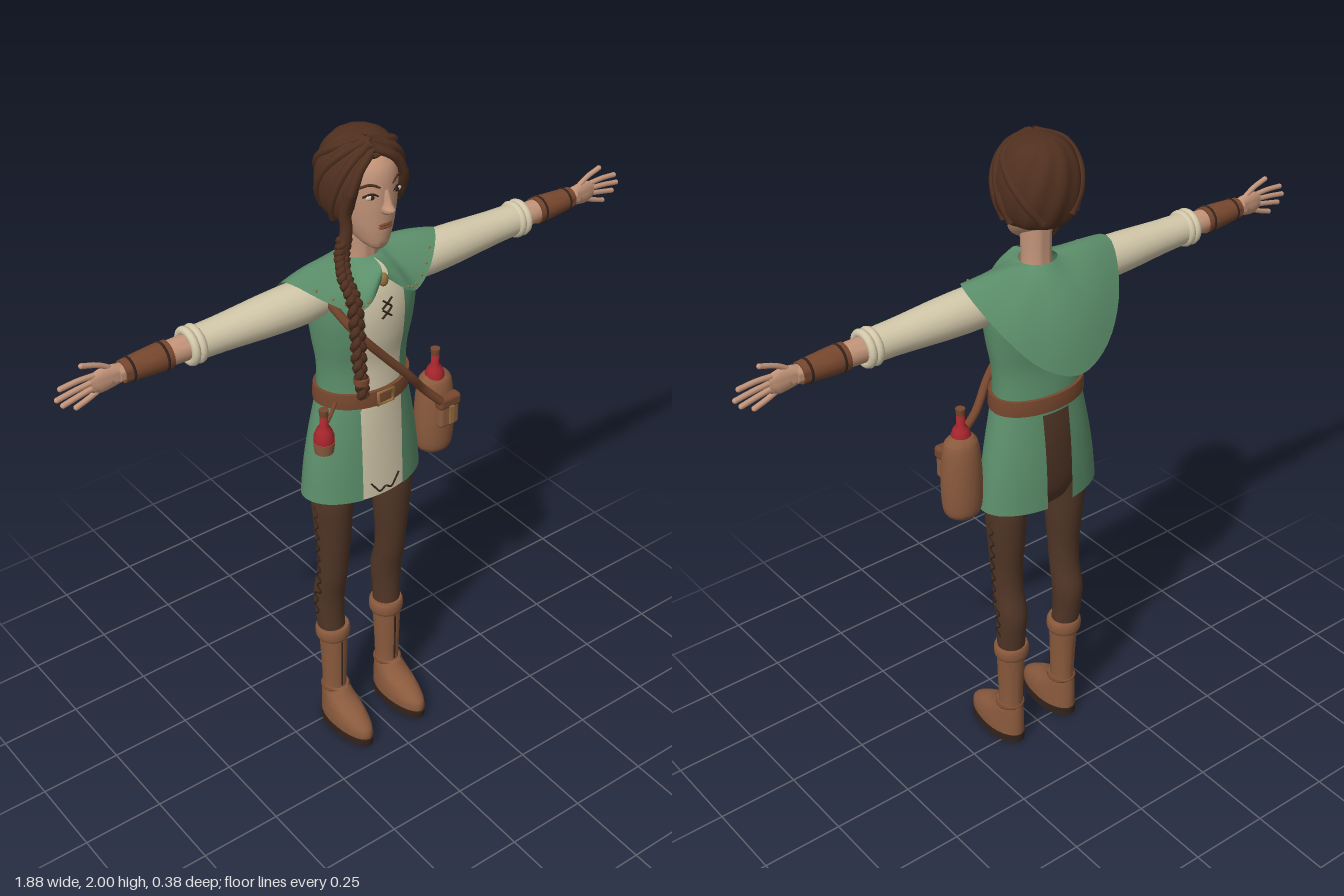
import * as THREE from 'three';
import { mergeVertices, toCreasedNormals } from 'three/addons/utils/BufferGeometryUtils.js';
import { RoundedBoxGeometry } from 'three/addons/geometries/RoundedBoxGeometry.js';

const paint = (name, color, double) => {
  const m = new THREE.MeshStandardMaterial({ color });
  m.name = name;
  if (double) m.side = THREE.DoubleSide;
  return m;
};
const V = (p) => new THREE.Vector3(...p);
const smooth = THREE.MathUtils.smoothstep;
const TAU = Math.PI * 2;

// Smooth surface from f(u, v); it faces outward when u runs counter-clockwise and v runs up
function grid(f, nu, nv) {
  const pos = [], idx = [];
  for (let j = 0; j <= nv; j++) for (let i = 0; i <= nu; i++) pos.push(...f(i / nu, j / nv));
  for (let j = 0; j < nv; j++) for (let i = 0; i < nu; i++) {
    const a = j * (nu + 1) + i, b = a + nu + 1;
    idx.push(a, a + 1, b + 1, a, b + 1, b);
  }
  let g = new THREE.BufferGeometry();
  g.setAttribute('position', new THREE.Float32BufferAttribute(pos, 3));
  g.setIndex(idx);
  g = mergeVertices(g, 1e-5);
  g.computeVertexNormals();
  return g;
}

// Rows are [y, x, z, half width, depth in front, depth behind]; span(rx) gives the angles covered
function section(rows) {
  const c = new THREE.CatmullRomCurve3(rows.map((r) => V([r[1], r[0], r[2]])), false, 'catmullrom');
  const s = new THREE.CatmullRomCurve3(rows.map((r) => V([r[3], r[4], r[5]])), false, 'catmullrom');
  return (t) => [c.getPoint(t), s.getPoint(t)];
}
function loft(rows, { nu = 28, span, scale = 1 } = {}) {
  const at = section(rows), n = rows.length * 4;
  const nv = span ? n : n + 2;
  const g = grid((u, v) => {
    const j = Math.round(v * nv);
    const [c, s] = at(span ? v : Math.min(Math.max((j - 1) / n, 0), 1));
    const k = !span && (j === 0 || j === nv) ? 0 : scale;
    const [a0, a1] = span ? span(s.x) : [0, TAU];
    const a = a0 + (a1 - a0) * (!span && u === 1 ? 0 : u), co = Math.cos(a);
    return [c.x + k * s.x * Math.sin(a), c.y, c.z + k * (co > 0 ? s.y : s.z) * co];
  }, nu, nv);
  return span ? g : toCreasedNormals(g, 0.9);
}
const tube = (pts, r, seg = 24, sides = 8) =>
  new THREE.TubeGeometry(new THREE.CatmullRomCurve3(pts.map(V)), seg, r, sides);
const round = (y, r, x = 0, z = 0) => [y, x, z, r, r, r];

export function createModel() {
  const model = new THREE.Group();
  model.name = 'adventurer';
  const hair = paint('hair brown', 0x50301f, true), skin = paint('skin', 0xc4957a);
  const green = paint('tunic green', 0x5c8f6b, true), cream = paint('linen cream', 0xd3c8aa, true);
  const leather = paint('belt leather', 0x77472e), boot = paint('boot leather', 0x8a5a3d);
  const legging = paint('legging brown', 0x503526), dark = paint('dark brown', 0x33231c);
  const red = paint('potion red', 0xa8262d), gold = paint('brass', 0x94713c);

  const add = (name, geo, mat, parent = model, p = [0, 0, 0]) => {
    const m = new THREE.Mesh(geo, mat);
    m.name = name;
    m.position.set(...p);
    parent.add(m);
    return m;
  };
  const blob = (name, mat, p, s, parent = model) => {
    const m = add(name, new THREE.SphereGeometry(1, 16, 12), mat, parent, p);
    m.scale.set(...s);
    return m;
  };

  // Head, neck and face
  add('neck', loft([[1.58, 0, 0, 0.05, 0.05, 0.045], [1.65, 0, 0.005, 0.041, 0.043, 0.043], [1.78, 0, 0.01, 0.045, 0.045, 0.05]]), skin);
  add('head', loft([[1.69, 0, 0.075, 0.018, 0.018, 0.02], [1.705, 0, 0.06, 0.037, 0.043, 0.045], [1.74, 0, 0.03, 0.059, 0.08, 0.06],
    [1.78, 0, 0.015, 0.074, 0.098, 0.085], [1.84, 0, 0.01, 0.084, 0.105, 0.1], [1.91, 0, 0.01, 0.084, 0.1, 0.1],
    [1.95, 0, 0.005, 0.066, 0.08, 0.08], [1.97, 0, 0, 0.03, 0.04, 0.04]]), skin);
  add('nose', loft([[1.803, 0, 0.11, 0.012, 0.015, 0.01], [1.816, 0, 0.112, 0.017, 0.031, 0.01], [1.835, 0, 0.11, 0.011, 0.022, 0.01],
    [1.87, 0, 0.105, 0.008, 0.012, 0.01]], { nu: 12 }), skin);
  for (const y of [1.762, 1.77]) blob('lip', leather, [0, y, 0.109], [0.022, 0.005, 0.008]);
  for (const s of [-1, 1]) {
    blob('eye', cream, [s * 0.04, 1.855, 0.1], [0.017, 0.008, 0.006]);
    blob('iris', dark, [s * 0.039, 1.855, 0.103], [0.007, 0.007, 0.005]);
    add('eyelid', tube([[s * 0.022, 1.856, 0.108], [s * 0.04, 1.865, 0.104], [s * 0.06, 1.856, 0.09]], 0.003, 10, 6), dark);
    add('eyebrow', tube([[s * 0.018, 1.88, 0.109], [s * 0.042, 1.89, 0.099], [s * 0.066, 1.88, 0.08]], 0.004, 10, 6), hair);
  }

  // Hair cap with a raised front hairline, tucked in at the edge
  const hairPoint = (a, t, k = 1) => {
    const r = 0.117 * Math.pow(Math.max(Math.sin(t), 0), 0.75) * k * (1 + 0.02 * Math.sin(11 * a + 4 * t));
    return [r * Math.sin(a), 1.862 + 0.135 * Math.cos(t), r * Math.cos(a) - 0.002];
  };
  add('hair', grid((u, v) => {
    const a = TAU * (v === 1 && u === 1 ? 1 : u), f = Math.abs(a > Math.PI ? a - TAU : a);
    const edge = 0.88 + 1.7 * smooth(f, 0.3, 1.15), tuck = 0.12 + 0.38 * smooth(f, 0.8, 2);
    return hairPoint(a, (1 - v) * edge, 1 - tuck * smooth(1 - v, 0.88, 1));
  }, 64, 28), hair);
  const strands = [[-0.25, 0.5, 1.2, 2.3], [-0.2, 0.6, 0.9, 1.7], [-0.2, 0.4, 1.7, 2.2], [-0.3, 0.35, 2.6, 2.1],
    [-0.3, 0.7, -1.0, 2.2], [-0.3, 0.5, -1.5, 2.3], [-0.4, 0.4, -2.2, 2.2], [-0.4, 0.3, -2.9, 2.0]];
  for (const [a0, t0, a1, t1] of strands) {
    const pts = [0, 0.25, 0.5, 0.75, 1].map((k) => hairPoint(a0 + (a1 - a0) * Math.sqrt(k), t0 + (t1 - t0) * k, 0.98));
    add('hairStrand', tube(pts, 0.012), hair);
  }
  add('sideLock', tube([hairPoint(-0.85, 1.5), hairPoint(-1, 2), [-0.09, 1.76, 0.06], [-0.105, 1.7, 0.065]], 0.017), hair);

  // Three-strand braid over the right shoulder
  const path = new THREE.CatmullRomCurve3([[-0.095, 1.74, 0.06], [-0.11, 1.69, 0.068], [-0.125, 1.65, 0.1], [-0.125, 1.6, 0.138],
    [-0.12, 1.5, 0.148], [-0.12, 1.4, 0.158], [-0.115, 1.31, 0.168]].map(V));
  for (let k = 0; k < 3; k++) {
    const pts = [];
    for (let i = 0; i <= 70; i++) {
      const p = path.getPoint(i / 70), w = i * 0.55 + (k * TAU) / 3, taper = i > 58 ? 0.7 : 1;
      pts.push([p.x + 0.012 * taper * Math.sin(w), p.y, p.z + 0.007 * Math.sin(2 * w)]);
    }
    add('braidStrand', tube(pts, 0.0115, 140, 7), hair);
  }
  add('braidTie', new THREE.CylinderGeometry(0.021, 0.021, 0.018, 14), leather, model, [-0.118, 1.36, 0.163]);

  // Tunic bodice and split skirt, each with a cream front panel
  const bodice = [[1.2, 0, 0, 0.145, 0.11, 0.085], [1.26, 0, 0, 0.139, 0.105, 0.08], [1.34, 0, 0, 0.143, 0.104, 0.073],
    [1.42, 0, 0, 0.157, 0.117, 0.08], [1.5, 0, 0, 0.167, 0.12, 0.088], [1.57, 0, 0, 0.165, 0.106, 0.085],
    [1.615, 0, 0, 0.13, 0.083, 0.07], [1.642, 0, 0, 0.06, 0.055, 0.05]];
  const skirt = [[0.9, 0, 0, 0.196, 0.118, 0.108], [1.0, 0, 0, 0.185, 0.115, 0.105], [1.1, 0, 0, 0.168, 0.112, 0.098],
    [1.22, 0, 0, 0.143, 0.108, 0.083]];
  const angle = (x, rx) => Math.asin(Math.min(x / rx, 0.75));
  const panel = (rx) => [-angle(0.078, rx), angle(0.078, rx)];
  add('bodice', loft(bodice, { nu: 40, span: (rx) => [angle(0.068, rx), TAU - angle(0.068, rx)] }), green);
  add('shirtFront', loft(bodice, { nu: 12, span: panel, scale: 0.98 }), cream);
  add('skirtLeft', loft(skirt, { span: (rx) => [angle(0.07, rx), Math.PI - angle(0.045, rx)] }), green);
  add('skirtRight', loft(skirt, { span: (rx) => [Math.PI + angle(0.045, rx), TAU - angle(0.07, rx)] }), green);
  add('skirtFront', loft(skirt, { nu: 12, span: panel, scale: 0.98 }), cream);
  add('hips', loft([[0.88, 0, 0.005, 0.11, 0.06, 0.065], [0.95, 0, 0.005, 0.155, 0.085, 0.085], [1.1, 0, 0, 0.15, 0.09, 0.086],
    [1.21, 0, 0, 0.135, 0.095, 0.075]]), legging);

  // Belt and fastenings
  add('belt', loft([[1.212, 0, 0, 0.151, 0.116, 0.092], [1.235, 0, 0, 0.151, 0.116, 0.092], [1.258, 0, 0, 0.149, 0.114, 0.09]], { nu: 40 }), leather);
  add('buckle', new THREE.TorusGeometry(0.027, 0.005, 6, 4).rotateZ(Math.PI / 4).scale(1.3, 1, 1), gold, model, [0, 1.235, 0.117]);
  blob('collarClasp', gold, [0, 1.6, 0.103], [0.014, 0.02, 0.012]);
  for (const y of [1.505, 1.535]) for (const s of [-1, 1])
    add('chestLace', tube([[-s * 0.016, y - 0.014, 0.119], [0, y, 0.121], [s * 0.016, y + 0.014, 0.119]], 0.003, 6, 6), dark);
  for (const s of [-1, 1])
    add('hemTie', tube([[0, 0.93, 0.122], [s * 0.02, 0.918, 0.122], [s * 0.035, 0.935, 0.12], [s * 0.05, 0.955, 0.117]], 0.003, 12, 6), dark);

  // Shoulder cape: neck ring swept out to a pointed hem at the back
  const half = [[0.012, 1.6, 0.108], [0.06, 1.56, 0.128], [0.1, 1.543, 0.122], [0.17, 1.583, 0.092], [0.245, 1.632, 0.005],
    [0.205, 1.53, -0.1], [0.11, 1.415, -0.168]];
  const hem = new THREE.CatmullRomCurve3([...half, [0, 1.37, -0.19], ...half.map(([x, y, z]) => [-x, y, z]).reverse()].map(V));
  const capePoint = (u, v) => {
    const h = hem.getPoint(u), a = TAU * u, w = 1 - v, b = 0.022 * Math.sin(Math.PI * v);
    const lift = 1 - Math.abs(Math.sin(a)) * 0.6;
    return [h.x * w + 0.055 * Math.sin(a) * v, h.y * w + 1.648 * v + b * lift * 0.6, h.z * w + 0.05 * Math.cos(a) * v + b * Math.cos(a)];
  };
  add('cape', grid(capePoint, 70, 12), green);
  for (let i = 0; i < 6; i++) for (const u of [0.09 + i * 0.03, 0.91 - i * 0.03])
    blob('capeStud', gold, capePoint(u, 0.1), [0.004, 0.004, 0.004]);

  // Arms reach along +x; the right one is turned half round
  const fingers = [[[0.77, 0.02], [0.81, 0.045], [0.855, 0.06]], [[0.82, 0.02], [0.87, 0.022], [0.918, 0.018]],
    [[0.82, 0.004], [0.88, -0.002], [0.93, -0.01]], [[0.82, -0.012], [0.87, -0.022], [0.915, -0.032]],
    [[0.81, -0.025], [0.845, -0.04], [0.88, -0.052]]];
  for (const side of ['left', 'right']) {
    const arm = new THREE.Group();
    arm.name = side + 'Arm';
    arm.position.set(0, 1.56, 0.01);
    arm.rotation.y = side === 'left' ? 0 : Math.PI;
    model.add(arm);
    const limb = (name, rows, mat) => add(name, loft(rows, { nu: 20 }).rotateZ(-Math.PI / 2), mat, arm);
    limb('sleeve', [round(0.11, 0.05), round(0.2, 0.06), round(0.3, 0.058), round(0.38, 0.053), round(0.46, 0.048), round(0.55, 0.045)], cream);
    for (const x of [0.532, 0.553])
      add('sleeveCuff', new THREE.TorusGeometry(0.042, 0.012, 10, 24).rotateY(Math.PI / 2), cream, arm, [x, 0, 0]);
    limb('forearm', [round(0.5, 0.036), round(0.62, 0.033), round(0.76, 0.024)], skin);
    limb('bracer', [round(0.612, 0.038), round(0.66, 0.037), round(0.747, 0.03)], leather);
    for (const [x, r] of [[0.63, 0.037], [0.725, 0.031]])
      add('bracerStrap', new THREE.TorusGeometry(r, 0.004, 6, 24).rotateY(Math.PI / 2), dark, arm, [x, 0, 0]);
    limb('palm', [[0.74, 0, 0, 0.023, 0.02, 0.02], [0.775, 0, 0, 0.032, 0.017, 0.017], [0.81, 0.002, 0, 0.034, 0.014, 0.014],
      [0.835, 0.002, 0, 0.025, 0.009, 0.009]], skin);
    for (const f of fingers) {
      add('finger', tube(f.map(([x, y]) => [x, y, 0]), 0.0075, 8, 8), skin, arm);
      blob('fingertip', skin, [...f[2], 0], [0.0075, 0.0075, 0.0075], arm);
    }
  }

  // Legs and boots
  for (const s of [-1, 1]) {
    const leg = new THREE.Group();
    leg.name = s > 0 ? 'leftLeg' : 'rightLeg';
    model.add(leg);
    const x = s * 0.107, bx = s * 0.102;
    add('legging', loft([[0.32, bx, 0, 0.041, 0.04, 0.04], [0.42, x, -0.008, 0.044, 0.042, 0.045], [0.5, x, -0.01, 0.047, 0.046, 0.05],
      [0.58, x, 0.006, 0.046, 0.044, 0.048], [0.66, x, 0.011, 0.048, 0.048, 0.049], [0.76, x, 0.011, 0.054, 0.058, 0.06],
      [0.88, x, 0.01, 0.058, 0.07, 0.071], [1.0, s * 0.085, 0.008, 0.062, 0.072, 0.076]]), legging, leg);
    const lace = [];
    for (let i = 0; i <= 20; i++) lace.push([s * (0.155 + 0.008 * i / 20), 0.43 + i * 0.021, (i < 5 ? -0.008 : 0.008) + (i % 2 ? 0.009 : -0.009)]);
    add('leggingLace', tube(lace, 0.0028, 60, 5), dark, leg);
    add('bootShaft', loft([[0.1, bx, 0.005, 0.039, 0.045, 0.042], [0.15, bx, 0.004, 0.036, 0.039, 0.039], [0.24, bx, 0.003, 0.039, 0.041, 0.041],
      [0.35, bx, 0, 0.045, 0.044, 0.044]]), boot, leg);
    add('bootCuff', loft([[0.33, bx, -0.002, 0.048, 0.048, 0.048], [0.342, bx, -0.002, 0.053, 0.052, 0.052],
      [0.365, bx, -0.002, 0.053, 0.052, 0.052], [0.376, bx, -0.002, 0.048, 0.048, 0.048]]), boot, leg);
    add('bootFoot', loft([[0.025, bx, 0.055, 0.051, 0.13, 0.098], [0.055, bx, 0.055, 0.051, 0.125, 0.098], [0.085, bx, 0.045, 0.048, 0.095, 0.087],
      [0.11, bx, 0.025, 0.044, 0.06, 0.065], [0.14, bx, 0.008, 0.038, 0.042, 0.045]]), boot, leg);
    add('bootSole', loft([[0, bx, 0.055, 0.052, 0.132, 0.1], [0.028, bx, 0.055, 0.053, 0.135, 0.101]]), dark, leg);
    add('ankleStrap', new THREE.TorusGeometry(0.04, 0.005, 8, 24).rotateX(Math.PI / 2), leather, leg, [bx, 0.135, 0.007]);
    add('bootSeam', tube([[bx, 0.15, 0.044], [bx, 0.24, 0.045], [bx, 0.33, 0.045]], 0.003, 10, 6), dark, leg);
  }

  // Satchel, its strap and two potion bottles
  add('satchel', loft([[0.9, 0.25, 0.025, 0.035, 0.03, 0.03], [0.925, 0.25, 0.025, 0.056, 0.05, 0.05], [1.0, 0.25, 0.025, 0.062, 0.055, 0.055],
    [1.09, 0.25, 0.025, 0.058, 0.052, 0.052], [1.145, 0.25, 0.025, 0.05, 0.042, 0.042], [1.165, 0.25, 0.025, 0.035, 0.025, 0.025]]), boot);
  add('satchelPocket', new RoundedBoxGeometry(0.07, 0.09, 0.03, 3, 0.012), boot, model, [0.255, 1.055, 0.08]);
  add('satchelFlap', new RoundedBoxGeometry(0.078, 0.04, 0.036, 3, 0.012), leather, model, [0.255, 1.095, 0.08]);
  add('satchelTab', new THREE.BoxGeometry(0.014, 0.06, 0.006), gold, model, [0.255, 1.055, 0.1]);
  add('shoulderStrap', tube([[-0.15, 1.57, 0.05], [-0.1, 1.48, 0.106], [0, 1.36, 0.114], [0.09, 1.26, 0.106], [0.16, 1.175, 0.08],
    [0.23, 1.1, 0.085]], 0.013, 40), leather);

  const potion = (name, p) => {
    const g = new THREE.Group();
    g.name = name;
    g.position.set(...p);
    model.add(g);
    const profile = [[0, 0], [0.024, 0], [0.029, 0.02], [0.029, 0.05], [0.022, 0.07], [0.012, 0.085], [0.012, 0.115], [0, 0.115]];
    add('bottle', new THREE.LatheGeometry(profile.map((q) => new THREE.Vector2(...q)), 20), red, g);
    add('cork', new THREE.CylinderGeometry(0.014, 0.012, 0.022, 14), leather, g, [0, 0.124, 0]);
    add('holder', new THREE.CylinderGeometry(0.031, 0.027, 0.035, 20), boot, g, [0, 0.014, 0]);
  };
  potion('satchelPotion', [0.245, 1.115, 0.03]);
  potion('beltPotion', [-0.187, 1.115, 0.085]);
  add('potionLoop', tube([[-0.13, 1.235, 0.06], [-0.16, 1.215, 0.078], [-0.187, 1.19, 0.085]], 0.006, 10, 6), leather);
  return model;
}
